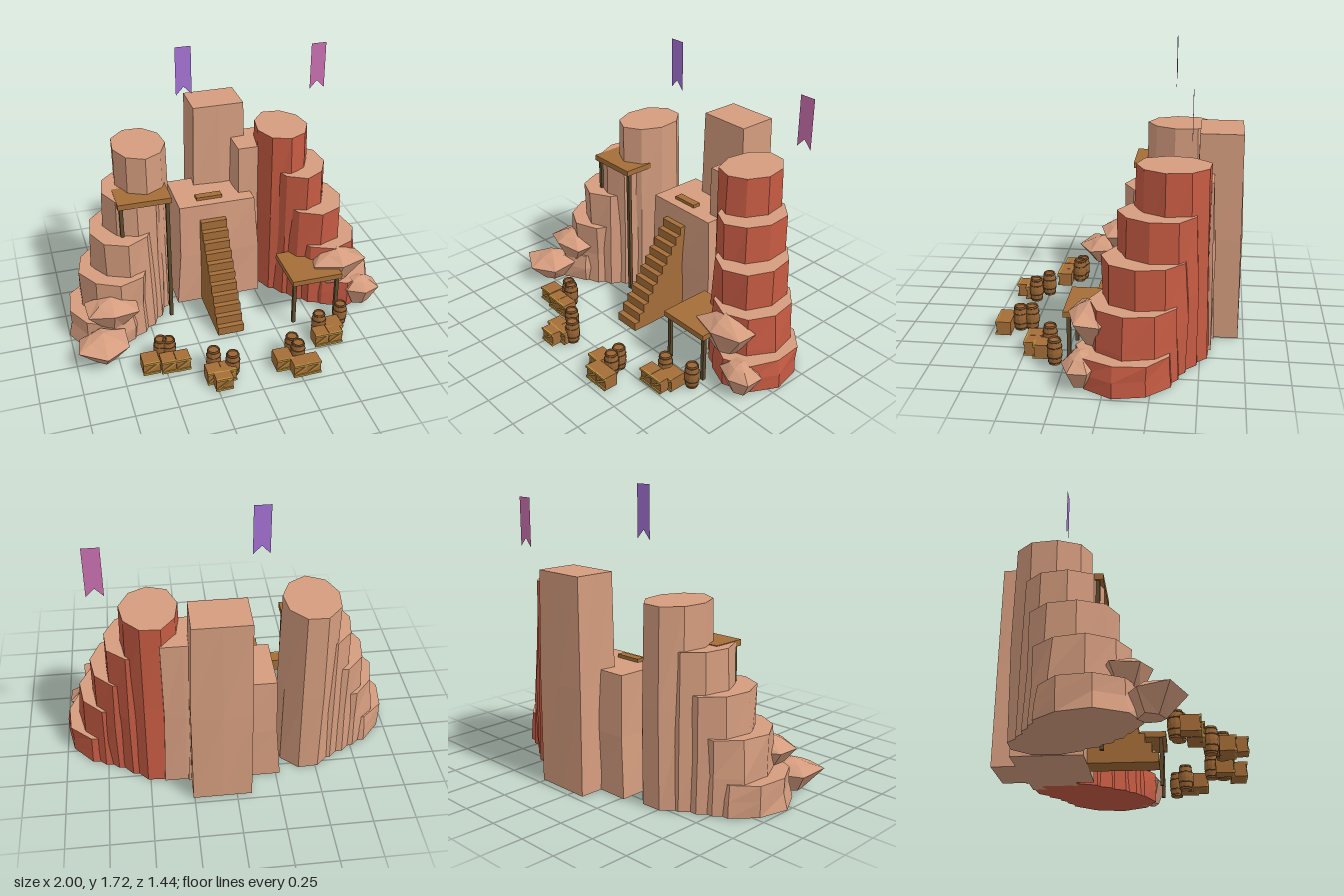
import * as THREE from 'three';

const mat = (color, extra = {}) => new THREE.MeshStandardMaterial({ color, ...extra });
const TAN = mat(0xd49c7e, { flatShading: true });
const RED = mat(0xc65b43, { flatShading: true });
const STAVE = mat(0x9a6534, { flatShading: true });
const WOOD = mat(0xa46d38);
const DARK = mat(0x5e4a2c);
const TRIM = mat(0xb88f3c);

function add(parent, name, geo, material, x = 0, y = 0, z = 0) {
  const m = new THREE.Mesh(geo, material);
  m.name = name;
  m.position.set(x, y, z);
  parent.add(m);
  return m;
}
const box = (w, h, d) => new THREE.BoxGeometry(w, h, d);

// Repeatable -1..1 noise from a rounded position, so shared corners stay joined
function noise(x, y, z, seed) {
  const r = v => Math.round(v * 500);
  const s = Math.sin(r(x) * 12.99 + r(y) * 78.23 + r(z) * 37.72 + seed * 4.17) * 43758.5453;
  return (s - Math.floor(s)) * 2 - 1;
}

function roughen(geo, rule) {
  const p = geo.attributes.position;
  for (let i = 0; i < p.count; i++) {
    const v = rule(p.getX(i), p.getY(i), p.getZ(i));
    p.setXYZ(i, ...v);
  }
  geo.computeVertexNormals();
  return geo;
}

// Faceted stone pillar standing on the ground
function pillar(rx, rz, h, seed) {
  const geo = new THREE.CylinderGeometry(0.95, 1.0, h, 9, 2);
  return roughen(geo, (x, y, z) => {
    const k = 1 + 0.045 * noise(x, y, z, seed);
    return [x * k * rx, y + h / 2, z * k * rz];
  });
}

// Blocky stone mass, bulging at mid height
function block(w, h, d, top, seed) {
  const geo = new THREE.BoxGeometry(w, h, d, 2, 2, 2);
  return roughen(geo, (x, y, z) => {
    const t = y / h + 0.5;
    const mid = Math.abs(y) < 0.01;
    const k = 1 + (top - 1) * t;
    const bulge = mid && Math.abs(x) < 0.01 ? 1.1 : 1;
    const j = mid ? 0.012 * noise(x, y, z, seed) : 0;
    return [x * k + j, y + h / 2, z * k * bulge];
  });
}

// Boulder: low crown, wide shoulder, narrow foot
function rock(parent, x, y, z, rx, ry, rz, seed) {
  const profile = [[0, -1], [0.42, -0.95], [1, 0.3], [0.5, 0.75], [0, 1]];
  const geo = new THREE.LatheGeometry(profile.map(p => new THREE.Vector2(...p)), 6);
  roughen(geo, (a, b, c) => {
    const k = 1 + 0.13 * noise(a, b, c, seed);
    return [a * k * rx, (b + 0.15 * noise(c, a, b, seed) * Math.hypot(a, c)) * ry, c * k * rz];
  });
  add(parent, 'boulder', geo, TAN, x, y, z);
}

function platform(x, z, height, w, d) {
  const g = new THREE.Group();
  g.name = 'platform';
  add(g, 'platformDeck', box(w, 0.035, d), WOOD, x, height - 0.0175, z);
  for (const s of [-1, 1]) {
    add(g, 'platformPost', box(0.022, height - 0.035, 0.022), DARK,
      x + s * (w / 2 - 0.022), (height - 0.035) / 2, z + d / 2 - 0.03);
  }
  return g;
}

function barrel(x, z) {
  const g = new THREE.Group();
  g.name = 'barrel';
  const profile = [[0, 0], [0.035, 0], [0.042, 0.045], [0.044, 0.075], [0.042, 0.105],
    [0.035, 0.15], [0.03, 0.15], [0.03, 0.14], [0, 0.14]];
  const body = new THREE.LatheGeometry(profile.map(p => new THREE.Vector2(...p)), 12);
  add(g, 'barrelBody', body, STAVE);
  for (const [y, r] of [[0.012, 0.037], [0.045, 0.042], [0.105, 0.042], [0.138, 0.037]]) {
    const hoop = add(g, 'barrelHoop', new THREE.TorusGeometry(r, 0.003, 4, 12), DARK, 0, y, 0);
    hoop.rotation.x = Math.PI / 2;
  }
  g.position.set(x, 0, z);
  return g;
}

// Crate with a braced front
function crate(x, z, s) {
  const g = new THREE.Group();
  g.name = 'crate';
  const h = 0.084, zf = s / 2 + 0.002;
  add(g, 'crateBody', box(s, h, s), WOOD, 0, h / 2, 0);
  for (const y of [0.007, h - 0.007]) add(g, 'crateRail', box(s + 0.004, 0.014, 0.012), TRIM, 0, y, zf);
  add(g, 'crateBrace', box(s, 0.012, 0.008), TRIM, 0, h / 2, zf).rotation.z = 0.6;
  g.position.set(x, 0, z);
  return g;
}

function banner(color, x, top, z) {
  const w = 0.048, h = 0.3;
  const s = new THREE.Shape([[-w, 0], [-w, -h], [0, -h + 0.052], [w, -h], [w, 0]]
    .map(p => new THREE.Vector2(...p)));
  const m = new THREE.Mesh(new THREE.ShapeGeometry(s), mat(color, { side: THREE.DoubleSide }));
  m.name = 'banner';
  m.position.set(x, top, z);
  return m;
}

export function createModel() {
  const model = new THREE.Group();
  model.name = 'rockFortress';

  // Two mirrored towers of stepped pillars: x, z, radius x, radius z, height
  const steps = [
    [0.455, -0.335, 0.177, 0.223, 1.12],
    [0.535, -0.262, 0.195, 0.236, 0.88],
    [0.613, -0.2, 0.218, 0.25, 0.65],
    [0.685, -0.145, 0.233, 0.265, 0.42],
    [0.762, -0.1, 0.236, 0.27, 0.18],
  ];
  for (const side of [-1, 1]) {
    const tower = new THREE.Group();
    tower.name = side < 0 ? 'rightTower' : 'leftTower';
    // Side, top and underside of each pillar
    const faces = side < 0 ? [TAN, TAN, TAN] : [RED, TAN, RED];
    steps.forEach(([x, z, rx, rz, h], i) =>
      add(tower, 'towerPillar', pillar(rx, rz, h, i + side * 7), faces, side * x, 0, z));
    model.add(tower);
  }

  // Central stone masses
  add(model, 'centreBlock', block(0.55, 0.7, 0.4, 0.88, 1), TAN, 0, 0, -0.375);
  add(model, 'backPillar', block(0.345, 1.24, 0.26, 0.94, 2), TAN, 0.085, 0, -0.585);
  add(model, 'sidePillar', block(0.26, 1.01, 0.28, 0.94, 3), TAN, 0.285, 0, -0.42);

  // Boulders at the tower feet
  rock(model, -0.83, 0.09, 0.22, 0.17, 0.095, 0.16, 1);
  rock(model, -0.75, 0.24, 0.09, 0.17, 0.1, 0.15, 5);
  rock(model, 0.865, 0.1, 0.13, 0.135, 0.1, 0.115, 3);
  rock(model, 0.7, 0.3, 0.09, 0.18, 0.125, 0.125, 4);

  // Solid staircase with a threshold plank on the block above
  const n = 11, rise = 0.6 / n, run = 0.41 / n;
  const side = new THREE.Shape();
  side.moveTo(0, 0);
  for (let i = 0; i < n; i++) {
    side.lineTo(i * run, (i + 1) * rise);
    side.lineTo((i + 1) * run, (i + 1) * rise);
  }
  side.lineTo(n * run, 0);
  const stairs = add(model, 'staircase',
    new THREE.ExtrudeGeometry(side, { depth: 0.165, bevelEnabled: false }), WOOD, -0.117, 0, 0.22);
  stairs.rotation.y = Math.PI / 2;
  add(model, 'thresholdPlank', box(0.165, 0.03, 0.05), WOOD, -0.034, 0.705, -0.285);

  // Lookout platforms
  model.add(platform(-0.487, -0.14, 0.884, 0.325, 0.2));
  model.add(platform(0.517, 0.088, 0.33, 0.325, 0.325));

  // Supplies in front
  for (const [x, z] of [[-0.505, 0.32], [-0.46, 0.335], [-0.228, 0.5], [-0.13, 0.567],
    [0.255, 0.515], [0.27, 0.582], [0.49, 0.36], [0.655, 0.305]]) model.add(barrel(x, z));
  const big = 0.1, small = 0.085;
  for (const [x, z, s] of [
    [-0.587, 0.392, big], [-0.487, 0.417, small], [-0.4, 0.42, small],
    [-0.215, 0.642, big], [-0.255, 0.585, small], [-0.168, 0.587, small],
    [0.173, 0.583, big], [0.245, 0.667, small], [0.327, 0.665, small],
    [0.572, 0.38, big], [0.465, 0.447, small], [0.553, 0.447, small],
  ]) model.add(crate(x, z, s));

  // Floating banners
  model.add(banner(0xa572d4, -0.17, 1.71, -0.31));
  model.add(banner(0xcb70b0, 0.725, 1.59, -0.436));

  return model;
}
